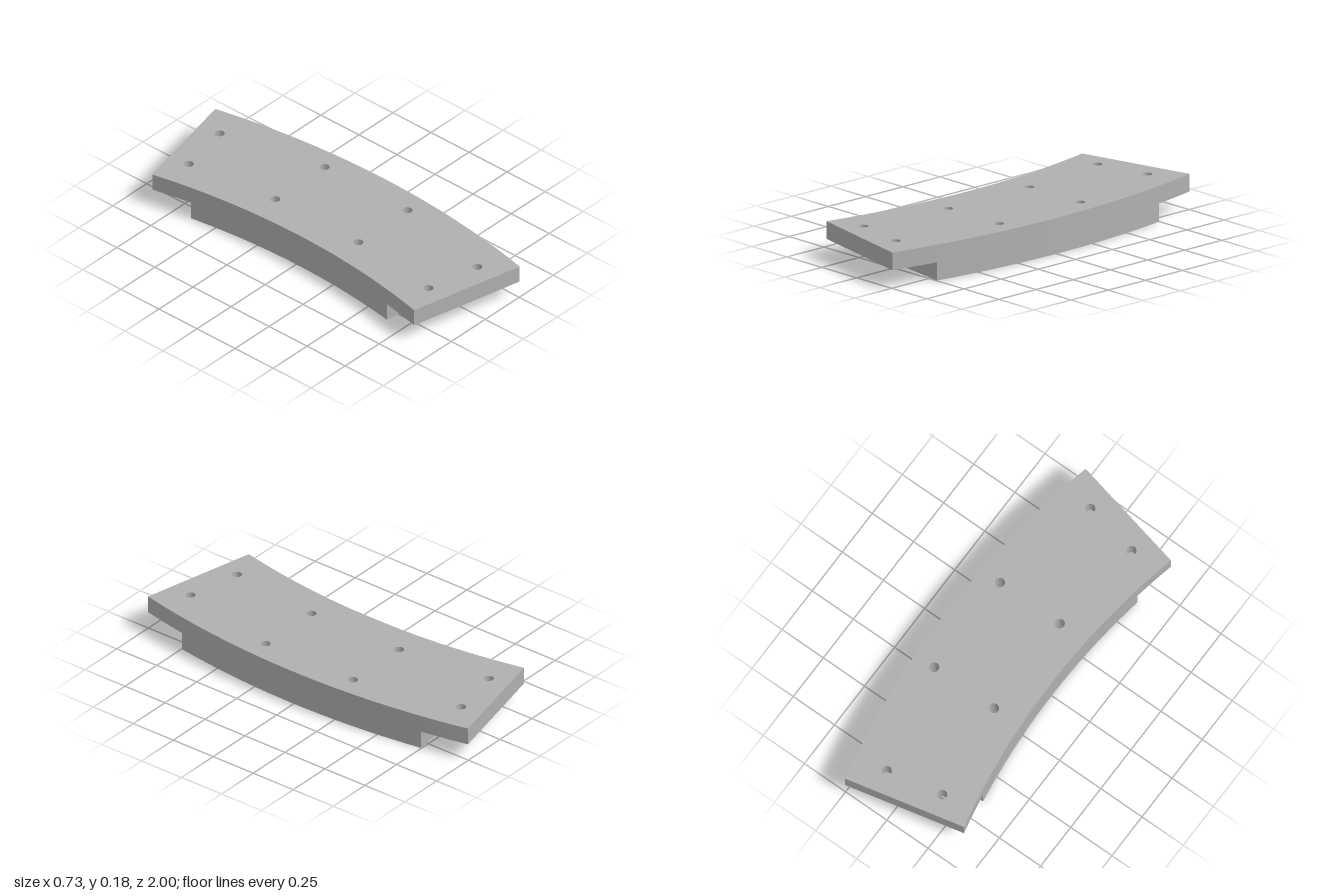
import * as THREE from 'three';
import { toCreasedNormals } from 'three/addons/utils/BufferGeometryUtils.js';

const OUTER = 4.54, INNER = 3.905, CENTRE_X = -4.175;
const STEP_Y = 0.093, TOP_Y = 0.183;

// Ring sector lying flat between two heights, pierced by round holes
function sector(name, halfAngle, y0, y1, holes, holeRadius, material) {
  const shape = new THREE.Shape();
  shape.absarc(CENTRE_X, 0, OUTER, -halfAngle, halfAngle, false);
  shape.absarc(CENTRE_X, 0, INNER, halfAngle, -halfAngle, true);
  shape.closePath();
  for (const [x, z] of holes) {
    const hole = new THREE.Path();
    hole.absarc(x, -z, holeRadius, 0, Math.PI * 2, true);
    shape.holes.push(hole);
  }
  const extruded = new THREE.ExtrudeGeometry(shape, {
    depth: y1 - y0, bevelEnabled: false, curveSegments: 32,
  });
  extruded.rotateX(-Math.PI / 2).translate(0, y0, 0);
  const mesh = new THREE.Mesh(toCreasedNormals(extruded, 0.5), material);
  mesh.name = name;
  return mesh;
}

// Repeat hole positions on both sides of z = 0
const mirrorZ = (points) => points.flatMap(([x, z]) => [[x, z], [x, -z]]);

export function createModel() {
  const grey = new THREE.MeshStandardMaterial({ color: 0xb0b0b0 });
  grey.name = 'grey metal';

  const middleHoles = mirrorZ([[-0.12, 0.273], [0.243, 0.273]]);
  const endHoles = mirrorZ([[-0.18, 0.787], [0.113, 0.846]]);

  const group = new THREE.Group();
  group.name = 'curvedSegment';
  // Long upper plate with eight through holes
  group.add(sector('upperPlate', Math.asin(1 / OUTER), STEP_Y, TOP_Y,
    [...middleHoles, ...endHoles], 0.025, grey));
  // Shorter lower block with wider counterbores under the middle holes
  group.add(sector('lowerBlock', Math.asin(0.747 / OUTER), 0, STEP_Y,
    middleHoles, 0.042, grey));
  return group;
}
